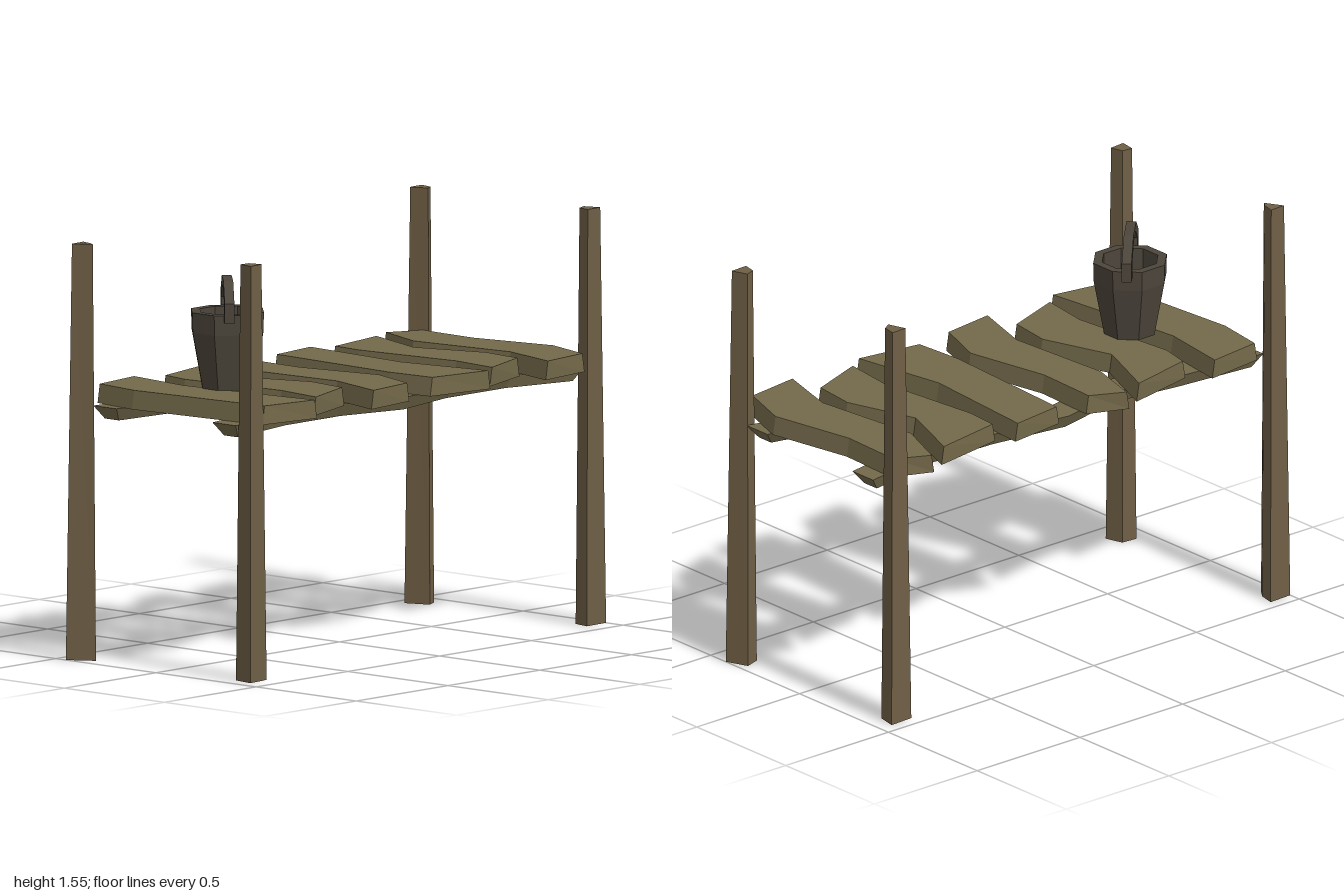
import * as THREE from 'three';

const mat = (color) => new THREE.MeshStandardMaterial({ color, flatShading: true });

// Upright prism from an [x, z] outline; rule(x, z, isTop) returns the adjusted [x, z]
function prism(outline, y0, y1, rule) {
  const shape = new THREE.Shape(outline.map(([x, z]) => new THREE.Vector2(x, -z)));
  const geo = new THREE.ExtrudeGeometry(shape, { depth: y1 - y0, bevelEnabled: false });
  geo.rotateX(-Math.PI / 2).translate(0, y0, 0);
  const p = geo.attributes.position;
  for (let i = 0; i < p.count; i++) {
    const [x, z] = rule(p.getX(i), p.getZ(i), p.getY(i) > (y0 + y1) / 2);
    p.setX(i, x);
    p.setZ(i, z);
  }
  geo.computeVertexNormals();
  return geo;
}

const centre = (pts) => [0, 1].map((k) => pts.reduce((s, p) => s + p[k], 0) / pts.length);

export function createModel() {
  const group = new THREE.Group();
  const plankMat = mat(0x73694a), postMat = mat(0x6f5f45), metalMat = mat(0x4c453b);
  const add = (name, geo, material, parent = group) => {
    const mesh = new THREE.Mesh(geo, material);
    mesh.name = name;
    parent.add(mesh);
    return mesh;
  };

  // Four crooked tapering posts
  const posts = {
    backRightPost: [[-1, -0.45], [-0.9, -0.455], [-0.915, -0.39], [-0.94, -0.355]],
    frontRightPost: [[-0.935, 0.34], [-0.87, 0.345], [-0.85, 0.415], [-0.95, 0.425]],
    frontLeftPost: [[0.905, 0.35], [0.965, 0.33], [1, 0.415], [0.89, 0.42]],
    backLeftPost: [[0.845, -0.45], [0.945, -0.455], [0.93, -0.38], [0.88, -0.355]],
  };
  for (const [name, pts] of Object.entries(posts)) {
    const [cx, cz] = centre(pts);
    add(name, prism(pts, 0, 1.55, (x, z, top) =>
      top ? [cx + (x - cx) * 0.65, cz + (z - cz) * 0.72] : [x, z]), postMat);
  }

  // Two wavy beams, narrower underneath
  const beamX = [-0.94, -0.6, -0.3, 0, 0.33, 0.65, 0.96];
  const beams = {
    frontBeam: [0.285, 0.22, 0.215, 0.285, 0.215, 0.215, 0.285],
    backBeam: [-0.31, -0.28, -0.24, -0.305, -0.26, -0.25, -0.31],
  };
  for (const [name, zs] of Object.entries(beams)) {
    const side = (s) => beamX.map((x, i) => [x, zs[i] + s * 0.058]);
    const midZ = (x) => zs[beamX.findIndex((b) => Math.abs(b - x) < 1e-3)];
    add(name, prism([...side(1), ...side(-1).reverse()], 0.9, 0.95, (x, z, top) =>
      top ? [x, z] : [x * 0.96, midZ(x) + (z - midZ(x)) * 0.6]), plankMat);
  }

  // Six warped planks, slightly wider underneath
  const planks = [
    [[-0.87, -0.4], [-0.65, -0.43], [-0.69, -0.15], [-0.665, 0.08], [-0.62, 0.445], [-0.85, 0.405], [-0.9, -0.2]],
    [[-0.555, -0.36], [-0.29, -0.42], [-0.4, -0.14], [-0.305, 0.14], [-0.33, 0.315], [-0.565, 0.4],
      [-0.535, 0.2], [-0.58, -0.24]],
    [[-0.2, -0.455], [-0.07, -0.39], [-0.08, -0.13], [-0.015, 0.21], [-0.09, 0.42], [-0.305, 0.45],
      [-0.23, 0.2], [-0.26, -0.24]],
    [[0.09, -0.395], [0.305, -0.425], [0.265, 0.065], [0.33, 0.44], [0.07, 0.4], [0.055, 0.2]],
    [[0.38, -0.37], [0.66, -0.42], [0.555, -0.14], [0.645, 0.14], [0.625, 0.315], [0.395, 0.4],
      [0.42, 0.2], [0.37, -0.24]],
    [[0.75, -0.455], [0.88, -0.39], [0.87, -0.13], [0.935, 0.21], [0.865, 0.42], [0.645, 0.45],
      [0.715, 0.2], [0.665, -0.24]],
  ];
  planks.forEach((pts, i) => {
    const [cx] = centre(pts);
    add(`plank${i + 1}`, prism(pts, 0.95, 1.02, (x, z, top) =>
      top ? [x, z] : [x + Math.sign(x - cx) * 0.012, z]), plankMat);
  });

  // Eight-sided bucket with an open top
  const bucket = new THREE.Group();
  bucket.name = 'bucket';
  bucket.position.set(-0.605, 1.02, -0.005);
  group.add(bucket);
  const k = 1 / Math.cos(Math.PI / 8);
  const profile = [[0, 0], [0.093, 0], [0.13, 0.21], [0.132, 0.285], [0.1, 0.285], [0.098, 0.2], [0.066, 0.04], [0, 0.04]]
    .map(([r, y]) => new THREE.Vector2(r * k, y));
  add('bucketBody', new THREE.LatheGeometry(profile, 8, Math.PI / 8), metalMat, bucket);

  // Angular carrying handle set across the diagonal
  const outer = [[0.177, 0.262], [0.177, 0.335], [0.07, 0.405]];
  const inner = [[0.05, 0.375], [0.135, 0.315], [0.135, 0.262]];
  const half = [...outer.slice().reverse(), ...inner.slice().reverse()];
  const flip = (pts) => pts.map(([x, y]) => [-x, y]);
  const arch = [...outer, ...flip(half.slice(0, 3)), ...flip(inner).reverse(), ...inner];
  const handleGeo = new THREE.ExtrudeGeometry(
    new THREE.Shape(arch.map(([x, y]) => new THREE.Vector2(x, y))), { depth: 0.036, bevelEnabled: false });
  handleGeo.translate(0, 0, -0.018);
  add('bucketHandle', handleGeo, metalMat, bucket).rotation.y = Math.PI / 4;

  return group;
}
